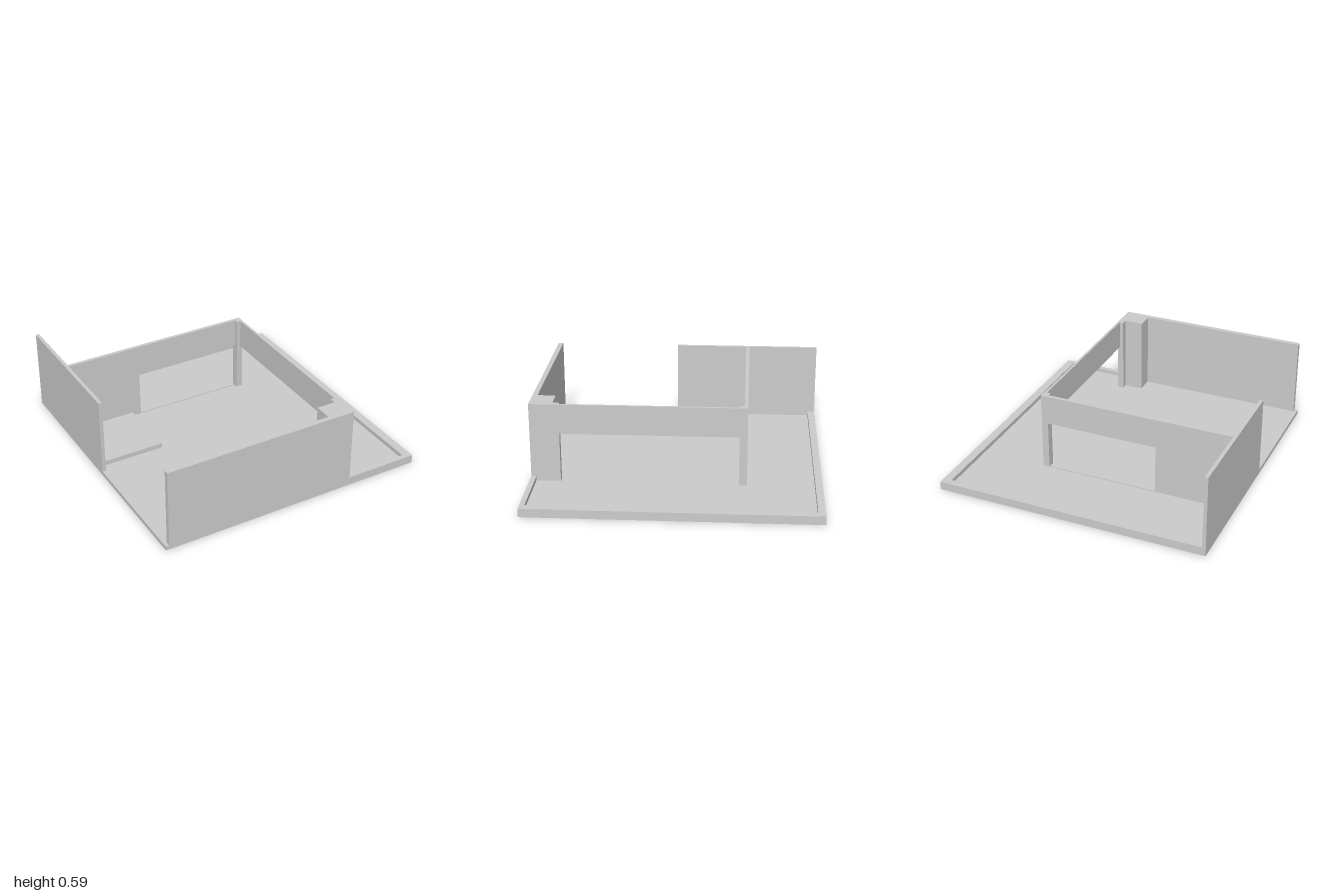
import * as THREE from 'three';

const material = new THREE.MeshStandardMaterial({ color: 0xcccccc, flatShading: true });
const FLOOR = 0.03, RIM = 0.06, TOP = 0.59, HEAD = 0.38;

// Rectangle path from two corners, with plan z turned into shape y
function rect(path, x0, x1, y0, y1) {
  path.moveTo(x0, y0);
  path.lineTo(x1, y0);
  path.lineTo(x1, y1);
  path.lineTo(x0, y1);
  path.closePath();
  return path;
}

export function createModel() {
  const group = new THREE.Group();

  const add = (name, geometry) => {
    const mesh = new THREE.Mesh(geometry, material);
    mesh.name = name;
    group.add(mesh);
    return mesh;
  };

  // Box given by its limits on each axis
  const block = (name, [x0, x1], [y0, y1], [z0, z1]) =>
    add(name, new THREE.BoxGeometry(x1 - x0, y1 - y0, z1 - z0))
      .position.set((x0 + x1) / 2, (y0 + y1) / 2, (z0 + z1) / 2);

  // Floor slab with a narrow slot beneath the back wall
  const plan = rect(new THREE.Shape(), -0.97, 0.965, -1, 1);
  plan.holes.push(rect(new THREE.Path(), -0.76, -0.41, 0.463, 0.482));
  const slab = new THREE.ExtrudeGeometry(plan, { depth: FLOOR, bevelEnabled: false });
  add('floorSlab', slab.rotateX(-Math.PI / 2));

  // Raised rim around the yard
  block('backRim', [-0.945, 0.965], [FLOOR, RIM], [-1, -0.95]);
  block('rightRim', [0.905, 0.965], [FLOOR, RIM], [-0.95, 1]);
  block('frontRim', [0.435, 0.905], [FLOOR, RIM], [0.965, 1]);

  // Solid outer walls
  block('frontWall', [-0.945, 0.435], [FLOOR, TOP], [0.965, 1]);
  block('sideWall', [-0.97, -0.945], [FLOOR, 0.585], [-1, 0.07]);

  // Back wall of the room, with a wide doorway
  const backZ = [-0.485, -0.46];
  block('backWall', [-0.945, -0.41], [FLOOR, TOP], backZ);
  block('backLintel', [-0.41, 0.39], [HEAD, TOP], backZ);
  block('backThreshold', [-0.41, 0.39], [FLOOR, 0.036], backZ);

  // Yard-side lintel over the long opening
  block('yardLintel', [0.418, 0.435], [HEAD, TOP], [-0.43, 0.795]);

  // Posts at both ends of the opening, and the corner pier
  block('backPost', [0.39, 0.437], [FLOOR, TOP], [-0.485, -0.43]);
  block('frontPost', [0.39, 0.435], [FLOOR, TOP], [0.795, 0.84]);
  block('cornerPier', [0.255, 0.435], [FLOOR, TOP], [0.84, 0.965]);

  // Low platform in the room corner
  block('platform', [-0.945, -0.48], [FLOOR, 0.065], [-0.45, 0.01]);

  return group;
}
